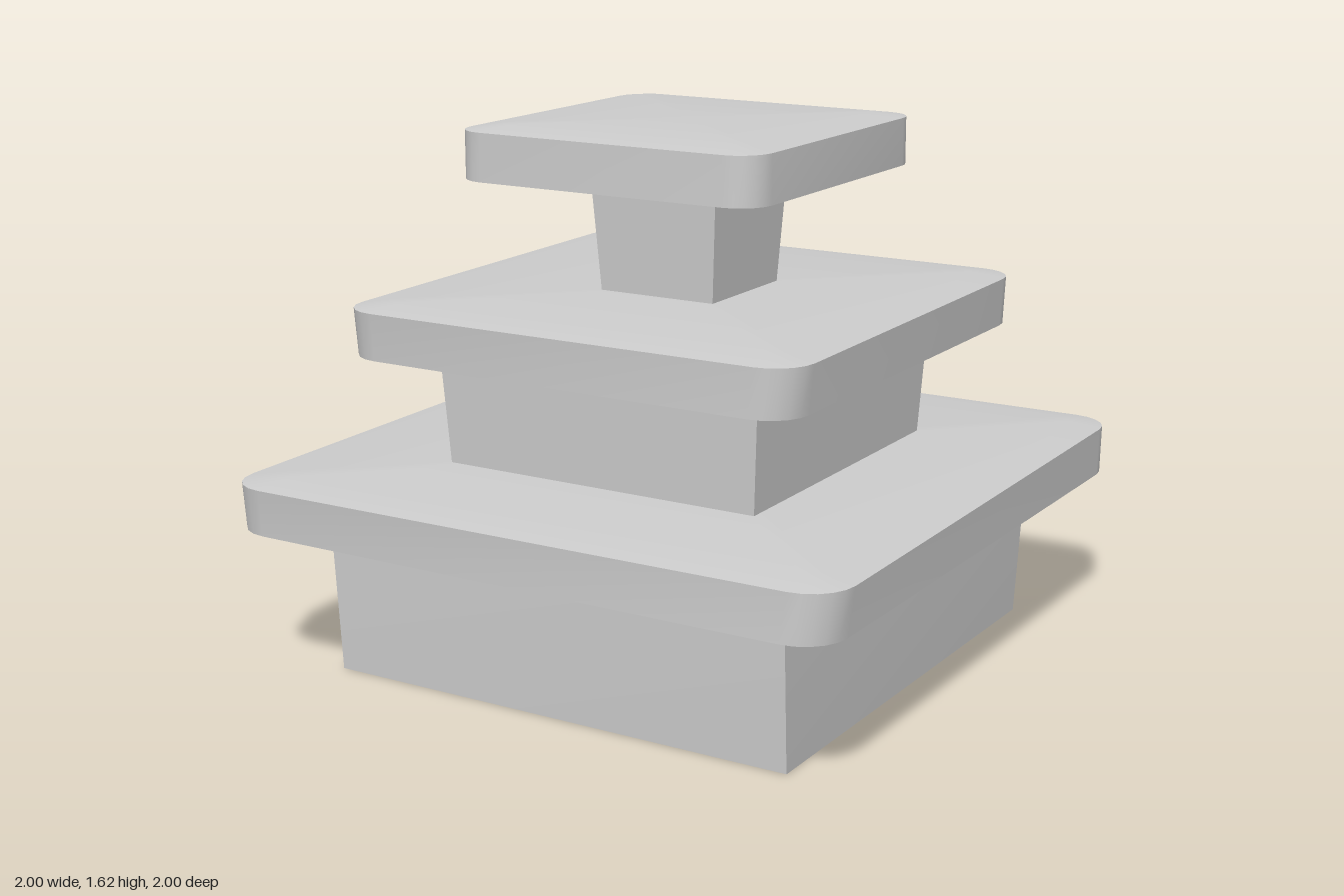
import * as THREE from 'three';
import { toCreasedNormals } from 'three/addons/utils/BufferGeometryUtils.js';

// Square outline at height y with rounded corners, turned by angle turn
function ring(half, radius, y, turn = 0) {
  const steps = radius > 0 ? 5 : 0;
  const points = [];
  for (let corner = 0; corner < 4; corner++) {
    const start = corner * Math.PI / 2;
    const middle = start + Math.PI / 4;
    const c = (half - radius) * Math.SQRT2;
    for (let i = 0; i <= steps; i++) {
      const a = steps ? start + (i / steps) * Math.PI / 2 : 0;
      const x = c * Math.cos(middle) + radius * Math.cos(a);
      const z = c * Math.sin(middle) + radius * Math.sin(a);
      points.push(new THREE.Vector3(x, y, z).applyAxisAngle(THREE.Object3D.DEFAULT_UP, turn));
    }
  }
  return points;
}

// Closed solid through stacked rings, from bottom to top
function loft(rings) {
  const n = rings[0].length;
  const bottom = 0, top = rings.length - 1;
  const points = rings.flat();
  const lowCentre = points.push(new THREE.Vector3(0, rings[bottom][0].y, 0)) - 1;
  const highCentre = points.push(new THREE.Vector3(0, rings[top][0].y, 0)) - 1;
  const index = [];
  for (let i = 0; i < n; i++) {
    const j = (i + 1) % n;
    for (let k = 0; k < top; k++) {
      const a = k * n + i, b = k * n + j;
      index.push(a, a + n, b, b, a + n, b + n);
    }
    index.push(lowCentre, i, j, highCentre, top * n + j, top * n + i);
  }
  const geometry = new THREE.BufferGeometry().setFromPoints(points);
  geometry.setIndex(index);
  return toCreasedNormals(geometry, 0.6);
}

// Slab with softly domed faces, flaring and twisting slightly upwards
function slab(lowHalf, highHalf, radius, y, turn) {
  const inset = 0.1;
  return loft([
    ring(lowHalf - inset, radius * 0.4, y),
    ring(lowHalf, radius, y + 0.012),
    ring(highHalf, radius, y + 0.155, turn),
    ring(highHalf - inset, radius * 0.4, y + 0.17, turn),
  ]);
}

// Square block that widens towards the top
const block = (lowHalf, highHalf, y0, y1, turn = 0) =>
  loft([ring(lowHalf, 0, y0), ring(highHalf, 0, y1, turn)]);

export function createModel() {
  const model = new THREE.Group();
  model.name = 'tieredTower';
  const stone = new THREE.MeshStandardMaterial({ color: 0xcccccc });
  stone.name = 'light grey';

  const parts = {
    // Tapered blocks
    lowerBlock: block(0.757, 0.772, 0, 0.46, -0.015),
    middleBlock: block(0.515, 0.535, 0.61, 0.96),
    upperBlock: block(0.19, 0.212, 1.11, 1.46),
    // Overhanging slabs
    lowerSlab: slab(0.983, 0.99, 0.13, 0.45, 0.012),
    middleSlab: slab(0.737, 0.745, 0.12, 0.95, 0.012),
    topSlab: slab(0.5, 0.5, 0.1, 1.455, 0),
  };
  for (const [name, geometry] of Object.entries(parts)) {
    const mesh = new THREE.Mesh(geometry, stone);
    mesh.name = name;
    model.add(mesh);
  }
  return model;
}
